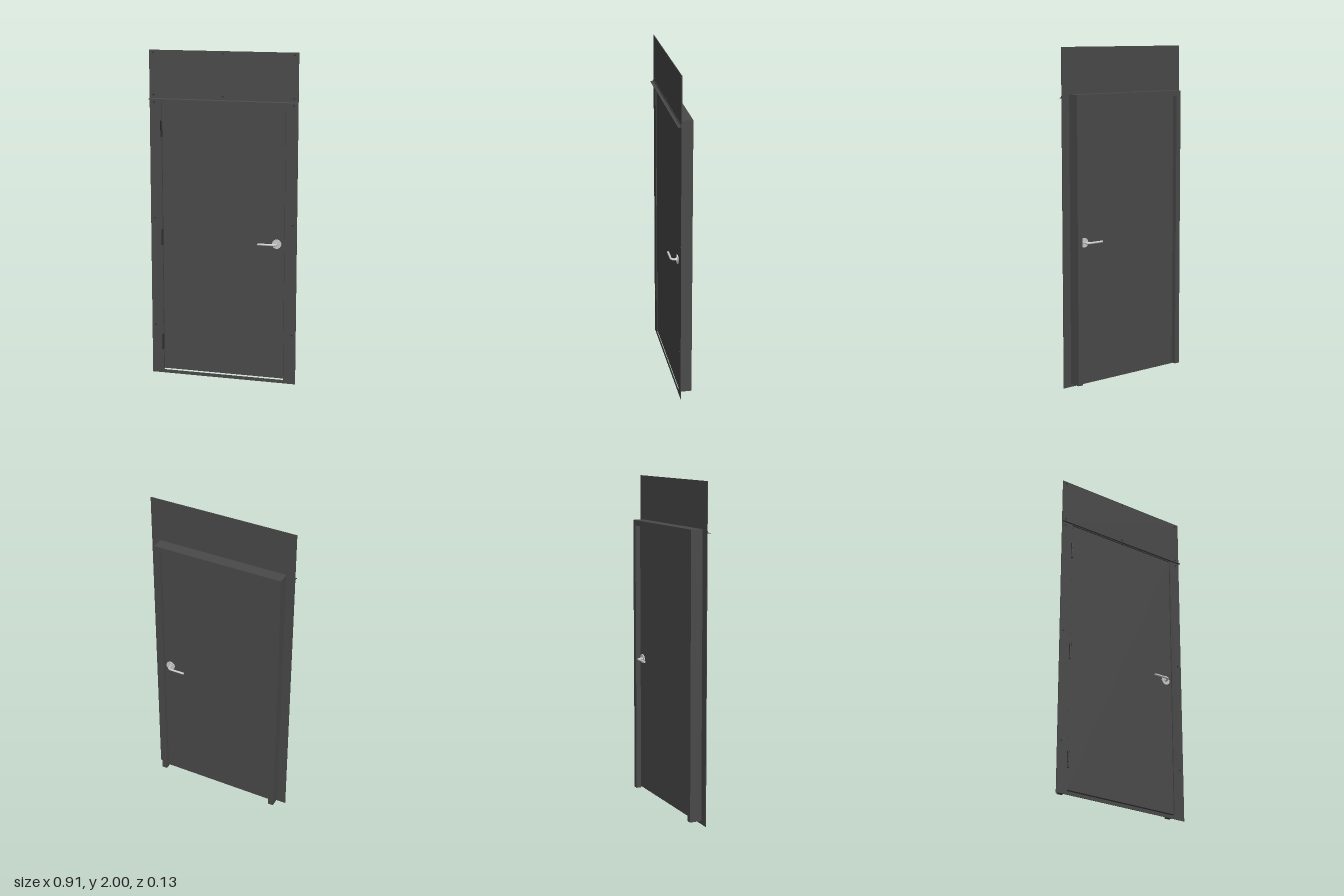
import * as THREE from 'three';

const dark = new THREE.MeshStandardMaterial({ color: 0x4a4a4a });
const black = new THREE.MeshStandardMaterial({ color: 0x2c2c2c });
const metal = new THREE.MeshStandardMaterial({ color: 0xcccccc });

const W = 0.453;            // half width of the cladding
const PLATE = 0.024;        // front face of the cladding
const BACK = 0.02;          // back face of the cladding, front face of the leaf

// box given by its limits on each axis
function box(parent, name, x0, x1, y0, y1, z0, z1, material = dark) {
  const mesh = new THREE.Mesh(new THREE.BoxGeometry(x1 - x0, y1 - y0, z1 - z0), material);
  mesh.position.set((x0 + x1) / 2, (y0 + y1) / 2, (z0 + z1) / 2);
  mesh.name = name;
  parent.add(mesh);
  return mesh;
}

// extruded outline lying in the xy plane, starting at depth z
function extrude(points, holes, z, depth) {
  const toVectors = (list) => list.map(([x, y]) => new THREE.Vector2(x, y));
  const shape = new THREE.Shape(toVectors(points));
  for (const hole of holes) shape.holes.push(new THREE.Path(toVectors(hole)));
  return new THREE.ExtrudeGeometry(shape, { depth, bevelEnabled: false }).translate(0, 0, z);
}

// upside-down U for the jambs and header
function surround(outer, top, inner, innerTop, bottom, z0, z1) {
  return extrude([
    [-outer, bottom], [-inner, bottom], [-inner, innerTop], [inner, innerTop],
    [inner, bottom], [outer, bottom], [outer, top], [-outer, top],
  ], [], z0, z1 - z0);
}

// disc or rod pointing along z
function disc(parent, name, x, y, z0, z1, radius, material, sides = 32) {
  const geometry = new THREE.CylinderGeometry(radius, radius, z1 - z0, sides).rotateX(Math.PI / 2);
  const mesh = new THREE.Mesh(geometry, material);
  mesh.position.set(x, y, (z0 + z1) / 2);
  mesh.name = name;
  parent.add(mesh);
}

// lever handle with its rose at the origin, projecting along +z
function leverHandle() {
  const handle = new THREE.Group();
  disc(handle, 'rose', 0, 0, 0, 0.006, 0.028, metal, 40);
  disc(handle, 'collar', 0, 0, 0.006, 0.011, 0.011, metal, 24);
  const path = new THREE.CurvePath();
  const v = (x, z) => new THREE.Vector3(x, 0, z);
  path.add(new THREE.LineCurve3(v(0, 0), v(0, 0.017)));
  path.add(new THREE.QuadraticBezierCurve3(v(0, 0.017), v(0, 0.038), v(-0.022, 0.038)));
  path.add(new THREE.LineCurve3(v(-0.022, 0.038), v(-0.109, 0.038)));
  const lever = new THREE.Mesh(new THREE.TubeGeometry(path, 40, 0.0065, 16), metal);
  lever.name = 'lever';
  handle.add(lever);
  const cap = new THREE.Mesh(new THREE.CircleGeometry(0.0065, 16).rotateY(-Math.PI / 2), metal);
  cap.position.set(-0.109, 0, 0.038);
  cap.name = 'leverEnd';
  handle.add(cap);
  return handle;
}

export function createModel() {
  const model = new THREE.Group();
  model.name = 'door';

  // thin front cladding around the opening
  const flange = new THREE.Mesh(extrude(
    [[-W, 0], [W, 0], [W, 1.712], [-W, 1.712]],
    [[[-0.38, 0.02], [-0.38, 1.708], [0.38, 1.708], [0.38, 0.02]]],
    BACK, PLATE - BACK), dark);
  flange.name = 'frontFlange';
  model.add(flange);

  // panel above the door
  box(model, 'topPanel', -W, W, 1.712, 2, BACK, PLATE);

  // drip ledge: upstand and a slightly sloping lip
  const lip = new THREE.Mesh(extrude([
    [PLATE, 1.722], [PLATE, 1.712], [0.043, 1.707], [0.043, 1.711], [0.027, 1.715], [0.027, 1.722],
  ], [], -W, 2 * W).rotateY(-Math.PI / 2), dark);
  lip.name = 'dripLedge';
  model.add(lip);

  // frame: shallow rebate around the leaf and a deeper stop behind it
  const rebate = new THREE.Mesh(surround(0.4, 1.73, 0.382, 1.712, 0.02, -0.022, BACK), dark);
  rebate.name = 'frameRebate';
  const stop = new THREE.Mesh(surround(0.4, 1.73, 0.367, 1.697, 0.02, -0.053, -0.022), dark);
  stop.name = 'frameStop';
  model.add(rebate, stop);

  // door leaf, with a small gap below
  box(model, 'doorLeaf', -0.377, 0.377, 0.029, 1.705, -0.022, BACK);

  // hinges
  for (const y of [0.203, 0.868, 1.532]) {
    const hinge = new THREE.Group();
    hinge.name = 'hinge';
    for (let i = 0; i < 3; i++) {
      const knuckle = new THREE.Mesh(new THREE.CylinderGeometry(0.006, 0.006, 0.032, 16), black);
      knuckle.position.set(-0.381, y + (i - 1) * 0.033, 0.028);
      knuckle.name = 'hingeKnuckle';
      hinge.add(knuckle);
    }
    model.add(hinge);
  }

  // screw heads
  const screws = [[0, 1.985], [0, 1.735]];
  for (const side of [-1, 1]) {
    for (const y of [1.985, 1.735, 1.692, 0.985, 0.308]) screws.push([side * 0.428, y]);
  }
  for (const [x, y] of screws) disc(model, 'screw', x, y, PLATE, PLATE + 0.002, 0.005, black, 16);

  // lever handles on both faces
  const front = leverHandle();
  front.name = 'frontHandle';
  front.position.set(0.331, 0.867, BACK);
  const rear = leverHandle();
  rear.name = 'rearHandle';
  rear.position.set(0.331, 0.867, -0.022);
  // half turn about x keeps the lever pointing the same way
  rear.rotation.x = Math.PI;
  model.add(front, rear);

  return model;
}
